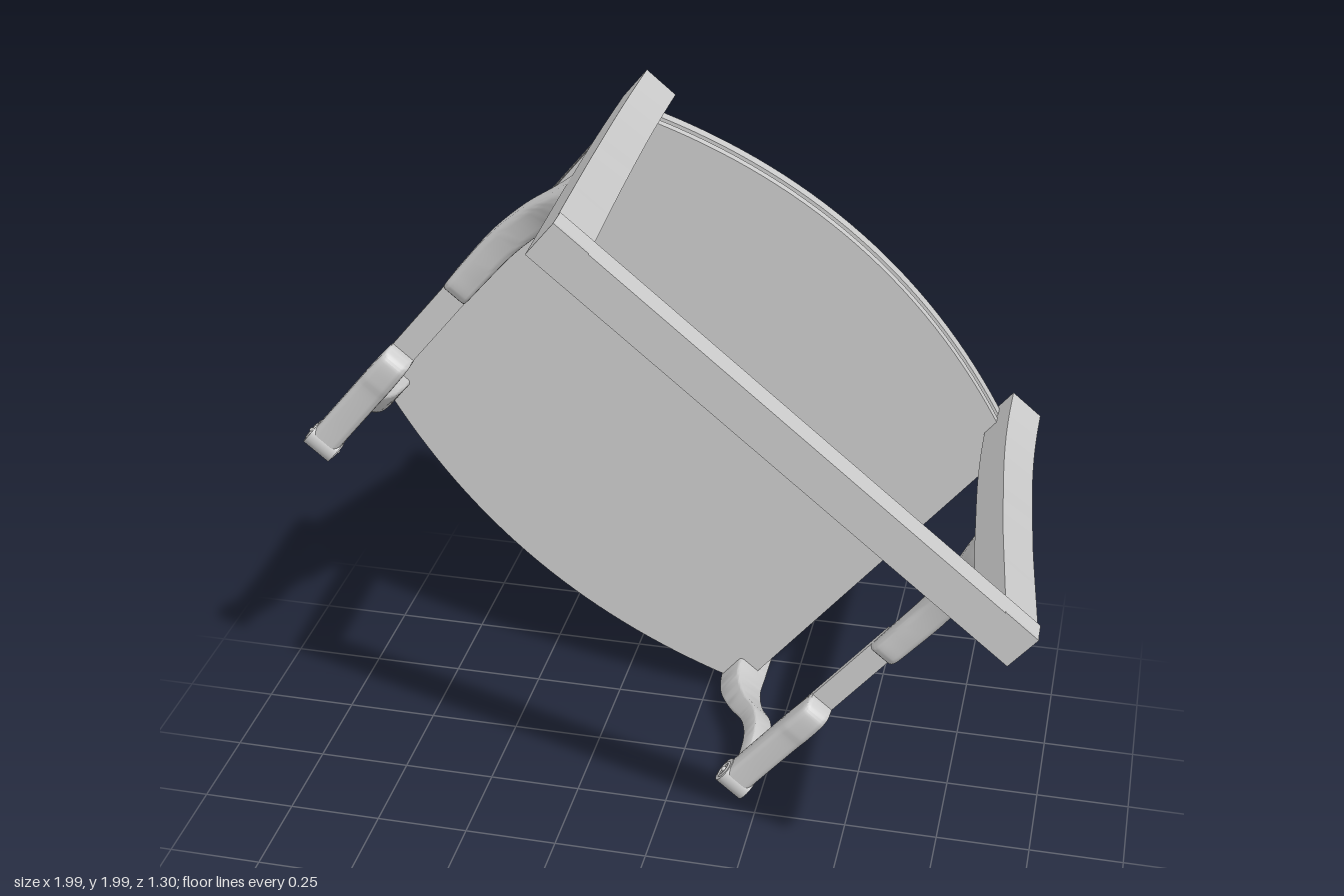
import * as THREE from 'three';
import { toCreasedNormals } from 'three/addons/utils/BufferGeometryUtils.js';

const material = new THREE.MeshStandardMaterial({ color: 0xcccccc });

function add(parent, name, geometry) {
  const mesh = new THREE.Mesh(geometry, material);
  mesh.name = name;
  parent.add(mesh);
  return mesh;
}

// Unit outline of a rectangle with rounded corners, counter-clockwise.
function outline(w, d, r) {
  const points = [];
  const steps = r > 0 ? 4 : 0;
  [[1, 1], [-1, 1], [-1, -1], [1, -1]].forEach(([sx, sy], q) => {
    for (let i = 0; i <= steps; i++) {
      const a = (q + (steps ? i / steps : 0)) * Math.PI / 2;
      points.push([
        sx * (w / 2 - r) + r * Math.cos(a),
        sy * (d / 2 - r) + r * Math.sin(a),
      ]);
    }
  });
  return points;
}

// Lofts rectangles along a smooth path. Each station is [x, y, z, sizeA, sizeB].
// Upright lofts lie in the zx plane; forward lofts lie in the xy plane.
function loft(stations, upright, samples, rounding) {
  const path = new THREE.CatmullRomCurve3(stations.map(s => new THREE.Vector3(s[0], s[1], s[2])));
  const size = new THREE.CatmullRomCurve3(stations.map(s => new THREE.Vector3(s[3], s[4], 0)));
  const positions = [], index = [];
  let n = 0;
  for (let k = 0; k <= samples; k++) {
    // Uniform station spacing keeps centres and sizes in step.
    const f = (k / samples) * (stations.length - 1);
    const i = Math.min(Math.floor(f), stations.length - 2);
    const at = c => {
      const p = c.points, get = j => p[Math.max(0, Math.min(p.length - 1, j))];
      const t = f - i, v = new THREE.Vector3();
      for (const axis of ['x', 'y', 'z']) {
        const a = get(i)[axis], b = get(i + 1)[axis];
        const m0 = (b - get(i - 1)[axis]) / 2, m1 = (get(i + 2)[axis] - a) / 2;
        v[axis] = (2 * t ** 3 - 3 * t * t + 1) * a + (t ** 3 - 2 * t * t + t) * m0
          + (3 * t * t - 2 * t ** 3) * b + (t ** 3 - t * t) * m1;
      }
      return v;
    };
    const c = at(path), s = at(size);
    const ring = outline(s.x, s.y, rounding * Math.min(s.x, s.y));
    n = ring.length;
    for (const [p, q] of ring) {
      if (upright) positions.push(c.x + q, c.y, c.z + p);
      else positions.push(c.x + p, c.y + q, c.z);
    }
  }
  for (let k = 0; k < samples; k++) {
    for (let i = 0; i < n; i++) {
      const j = (i + 1) % n, a = k * n, b = a + n;
      index.push(a + i, a + j, b + j, a + i, b + j, b + i);
    }
  }
  const last = samples * n;
  for (let i = 1; i < n - 1; i++) index.push(0, i + 1, i, last, last + i, last + i + 1);
  const g = new THREE.BufferGeometry();
  g.setAttribute('position', new THREE.Float32BufferAttribute(positions, 3));
  g.setIndex(index);
  return toCreasedNormals(g, 0.6);
}

// One seat layer with straight sides and bowed front and back edges.
function seatLayer(top, thickness, inset) {
  const x = 0.69 - inset, back = 0.235 + inset, front = 1.36 - inset;
  const shape = new THREE.Shape();
  shape.moveTo(-x, back);
  shape.quadraticCurveTo(0, back - 0.3, x, back);
  shape.lineTo(x, front);
  shape.quadraticCurveTo(0, front + 0.27, -x, front);
  shape.closePath();
  const g = new THREE.ExtrudeGeometry(shape, { depth: thickness, bevelEnabled: false, curveSegments: 32 });
  g.rotateX(Math.PI / 2).translate(0, top, 0);
  return toCreasedNormals(g, 0.5);
}

export function createModel() {
  const model = new THREE.Group();
  model.name = 'chair';

  // Chair-local axes: x across, y up the back, z toward the seat front.
  const chair = new THREE.Group();
  chair.name = 'chairFrame';
  model.add(chair);

  // Layered seat with a recessed groove round its edge
  const seat = new THREE.Group();
  seat.name = 'seat';
  chair.add(seat);
  add(seat, 'seatTop', seatLayer(-0.545, 0.025, 0));
  add(seat, 'seatGroove', seatLayer(-0.57, 0.02, 0.014));
  add(seat, 'seatBase', seatLayer(-0.59, 0.035, 0));

  // Top rail of the backrest
  add(chair, 'topRail', new THREE.BoxGeometry(1.42, 0.065, 0.1)).position.set(0, 0.6175, 0.052);

  for (const side of [-1, 1]) {
    const half = new THREE.Group();
    half.name = side > 0 ? 'leftSide' : 'rightSide';
    chair.add(half);

    // Bowed back post
    const bow = [[-0.65, 0.15], [-0.52, 0.149], [-0.39, 0.143], [-0.26, 0.132], [-0.13, 0.117],
      [0, 0.1], [0.13, 0.083], [0.26, 0.063], [0.39, 0.042], [0.52, 0.021], [0.65, 0]];
    add(half, 'backPost', loft(bow.map(([y, z]) => [side * 0.66, y, z + 0.05, 0.1, 0.1]), true, 30, 0));

    // Front foot block rising into a curved arm support
    add(half, 'armSupport', loft([
      [side * 0.675, -0.65, 1.35, 0.1, 0.1],
      [side * 0.675, -0.55, 1.35, 0.1, 0.1],
      [side * 0.68, -0.46, 1.342, 0.088, 0.09],
      [side * 0.695, -0.36, 1.305, 0.072, 0.075],
      [side * 0.71, -0.26, 1.25, 0.062, 0.065],
      [side * 0.72, -0.16, 1.228, 0.055, 0.06],
      [side * 0.725, -0.04, 1.232, 0.055, 0.06],
    ], true, 36, 0.12));

    // Rear arm, sweeping up and inward to the post
    add(half, 'rearArm', loft([
      [side * 0.66, 0.055, 0.16, 0.085, 0.1],
      [side * 0.68, 0.035, 0.25, 0.085, 0.09],
      [side * 0.708, -0.005, 0.36, 0.08, 0.075],
      [side * 0.725, -0.026, 0.48, 0.078, 0.07],
      [side * 0.728, -0.034, 0.6, 0.075, 0.068],
      [side * 0.728, -0.037, 0.67, 0.072, 0.062],
      [side * 0.727, -0.05, 0.695, 0.068, 0.036],
    ], false, 36, 0.25));

    // Thin strip joining the two arm pads
    add(half, 'armStrip', new THREE.BoxGeometry(0.068, 0.018, 0.36)).position.set(side * 0.726, -0.06, 0.81);

    // Front arm pad
    add(half, 'armPad', loft([
      [side * 0.726, -0.05, 0.93, 0.068, 0.036],
      [side * 0.726, -0.032, 0.95, 0.076, 0.07],
      [side * 0.726, -0.031, 1.02, 0.08, 0.076],
      [side * 0.726, -0.034, 1.07, 0.08, 0.07],
      [side * 0.726, -0.036, 1.2, 0.08, 0.066],
      [side * 0.726, -0.036, 1.29, 0.08, 0.066],
    ], false, 30, 0.25));

    // Scrolled arm end with a raised coil on each face
    const scroll = new THREE.Group();
    scroll.name = 'armScroll';
    scroll.position.set(side * 0.726, -0.036, 1.29);
    half.add(scroll);
    add(scroll, 'scrollRoll', new THREE.CylinderGeometry(0.037, 0.037, 0.084, 28).rotateZ(Math.PI / 2));
    for (const face of [-1, 1]) {
      add(scroll, 'scrollCoil', new THREE.TorusGeometry(0.022, 0.004, 6, 24).rotateY(Math.PI / 2))
        .position.x = face * 0.042;
      add(scroll, 'scrollEye', new THREE.SphereGeometry(0.008, 12, 8)).position.x = face * 0.042;
    }
  }

  // Tip the chair onto its back foot corner, with its back top facing forward.
  const angle = THREE.MathUtils.degToRad(39.45);
  const c = Math.cos(angle), s = Math.sin(angle);
  const across = new THREE.Vector3(c, -s, 0);
  const up = new THREE.Vector3(0, 0, 1);
  const forward = new THREE.Vector3(-s, -c, 0);
  chair.quaternion.setFromRotationMatrix(new THREE.Matrix4().makeBasis(across, up, forward));
  chair.position.set(-0.1 + 0.71 * c, 2 - 0.71 * s, 0);
  return model;
}
